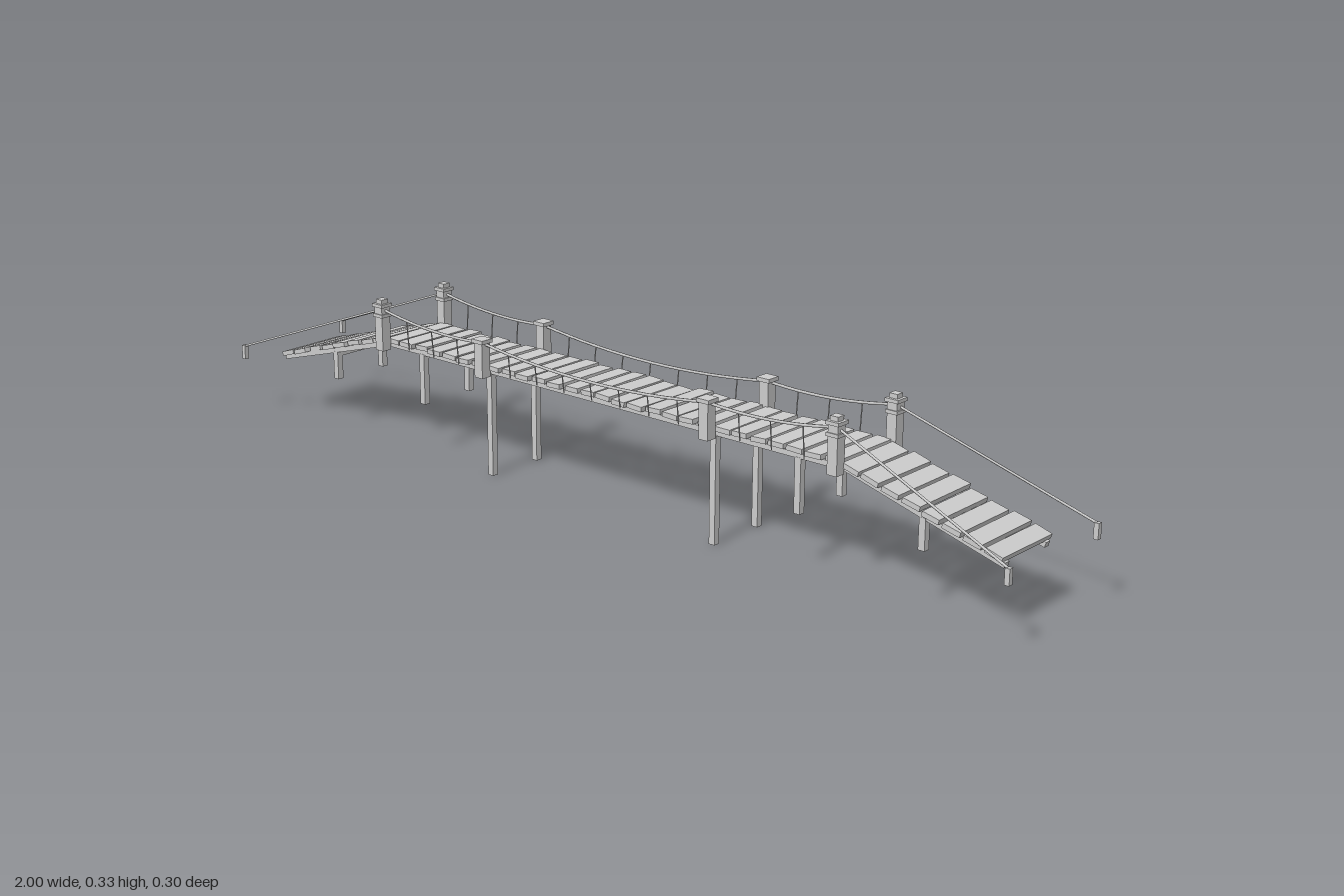
import * as THREE from 'three';

export function createModel() {
  const bridge = new THREE.Group();
  bridge.name = 'footbridge';
  const grey = new THREE.MeshStandardMaterial({ color: 0xcccccc });
  grey.name = 'light grey';

  let seed = 7;
  const jitter = (amount) => {
    seed = (seed * 16807) % 2147483647;
    return (seed / 2147483647 - 0.5) * 2 * amount;
  };
  const add = (name, geometry, x, y, z, parent = bridge) => {
    const mesh = new THREE.Mesh(geometry, grey);
    mesh.name = name;
    mesh.position.set(x, y, z);
    parent.add(mesh);
    return mesh;
  };
  // Box given by its bottom and top heights
  const post = (name, x, z, y0, y1, w, d = w) =>
    add(name, new THREE.BoxGeometry(w, y1 - y0, d), x, (y0 + y1) / 2, z);
  const rope = (name, points, radius) => {
    const curve = points.length > 2
      ? new THREE.QuadraticBezierCurve3(...points)
      : new THREE.LineCurve3(...points);
    const segments = points.length > 2 ? 16 : 1;
    return add(name, new THREE.TubeGeometry(curve, segments, radius, 6), 0, 0, 0);
  };
  const v = (x, y, z) => new THREE.Vector3(x, y, z);

  // A run of slightly uneven planks on two stringers, along local x
  function deck(name, length, count) {
    const group = new THREE.Group();
    group.name = name;
    const step = length / count;
    for (let i = 0; i < count; i++) {
      const geometry = new THREE.BoxGeometry(step * 0.83 + jitter(0.002), 0.01, 0.158 + jitter(0.004));
      const plank = add('plank', geometry, -length / 2 + step * (i + 0.5), jitter(0.0015), jitter(0.005), group);
      plank.rotation.set(jitter(0.008), jitter(0.012), jitter(0.05));
    }
    for (const z of [-0.065, 0.065]) {
      add('stringer', new THREE.BoxGeometry(length, 0.011, 0.013), 0, -0.0105, z, group);
    }
    bridge.add(group);
    return group;
  }
  deck('mainDeck', 1.2, 28).position.y = 0.236;
  for (const s of [-1, 1]) {
    const ramp = deck('ramp', 0.36, 8);
    ramp.position.set(s * 0.772, 0.188, 0);
    ramp.rotation.z = -s * 0.275;
  }

  for (const sx of [-1, 1]) {
    // Cross beams and support legs
    for (const [x, foot, top] of [[0.297, 0, 0.222], [0.497, 0.112, 0.222], [0.772, 0.112, 0.174]]) {
      add('crossBeam', new THREE.BoxGeometry(0.013, 0.011, 0.14), sx * x, top - 0.005, 0);
      for (const sz of [-1, 1]) post('supportLeg', sx * x, sz * 0.065, foot, top, 0.014);
    }
    for (const sz of [-1, 1]) {
      const z = sz * 0.09;
      // End towers with bands and stepped caps
      post('tower', sx * 0.595, z, 0.217, 0.314, 0.022, 0.023);
      post('towerBand', sx * 0.595, z, 0.29, 0.297, 0.027, 0.028);
      post('towerCap', sx * 0.595, z, 0.312, 0.319, 0.03);
      post('towerTop', sx * 0.595, z, 0.318, 0.328, 0.018);
      // Middle posts
      post('middlePost', sx * 0.297, z, 0.217, 0.292, 0.022, 0.023);
      post('middlePostCap', sx * 0.297, z, 0.29, 0.298, 0.03);
      // Ground anchors and stays
      post('anchorPost', sx * 0.995, sz * 0.143, 0.13, 0.161, 0.01);
      rope('stayCable', [v(sx * 0.595, 0.306, z), v(sx * 0.995, 0.159, sz * 0.143)], 0.0025);
    }
  }

  // Sagging hand cables with evenly spaced hangers
  for (const z of [-0.09, 0.09]) {
    const spans = [
      [-0.595, 0.306, 0.276, -0.297, 0.289, 3],
      [-0.297, 0.289, 0.245, 0.297, 0.289, 7],
      [0.297, 0.289, 0.276, 0.595, 0.306, 3],
    ];
    for (const [x0, y0, sag, x1, y1, hangers] of spans) {
      rope('handCable', [v(x0, y0, z), v((x0 + x1) / 2, sag, z), v(x1, y1, z)], 0.003);
      for (let i = 1; i <= hangers; i++) {
        const t = i / (hangers + 1);
        const y = (1 - t) ** 2 * y0 + 2 * t * (1 - t) * sag + t * t * y1;
        const x = x0 + (x1 - x0) * t;
        rope('hanger', [v(x, 0.228, z * 0.94), v(x, y, z)], 0.0013);
      }
    }
  }
  return bridge;
}
